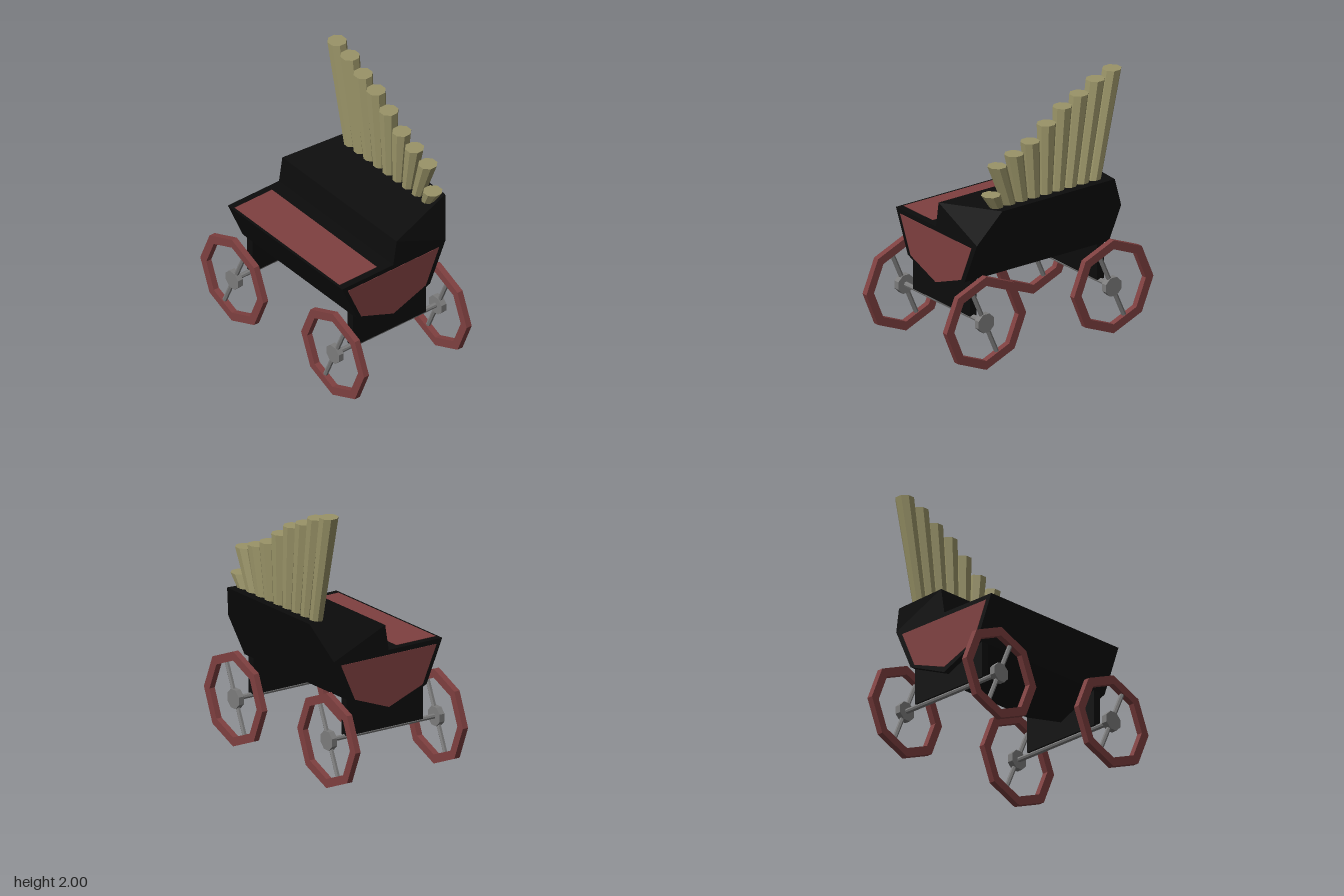
import * as THREE from 'three';
import { ConvexGeometry } from 'three/addons/geometries/ConvexGeometry.js';

const mat = (color) => new THREE.MeshStandardMaterial({ color, flatShading: true });

export function createModel() {
  const model = new THREE.Group();
  const black = mat(0x0c0c0c), red = mat(0x7f4040), brass = mat(0x9a9468), iron = mat(0x7c7c7c);

  const add = (parent, name, geometry, material, x = 0, y = 0, z = 0) => {
    const mesh = new THREE.Mesh(geometry, material);
    mesh.name = name;
    mesh.position.set(x, y, z);
    parent.add(mesh);
    return mesh;
  };
  // Convex solid from [x, y, z] points mirrored across x
  const mirroredHull = (points) => new ConvexGeometry(
    points.flatMap(([x, y, z]) => [new THREE.Vector3(x, y, z), new THREE.Vector3(-x, y, z)]));

  // Lower tub with a V-shaped keel
  const W = 0.635;
  add(model, 'tub', mirroredHull([
    [W, 0.95, 0.51], [W, 0.635, 0.375], [W, 0.49, 0.05], [W, 0.635, -0.28], [W, 0.95, -0.42],
  ]), black);

  // Raised rear hood with clipped back corners
  add(model, 'hood', mirroredHull([
    [W, 0.95, 0.05], [W, 1.14, 0.02], [0.495, 1.215, -0.53], [W, 0.95, -0.42],
  ]), black);

  // Red inlay on the deck and on both ends
  add(model, 'deckPanel', new THREE.BoxGeometry(1.165, 0.006, 0.335), red, 0, 0.95, 0.323);
  const endShape = new THREE.Shape([
    [0.46, 0.915], [0.34, 0.64], [0.05, 0.53], [-0.24, 0.64], [-0.36, 0.915],
  ].map(([z, y]) => new THREE.Vector2(-z, y)));
  const endGeo = new THREE.ExtrudeGeometry(endShape, { depth: 0.006, bevelEnabled: false });
  endGeo.rotateY(Math.PI / 2); // shape x becomes -z, depth becomes x
  for (const x of [W - 0.003, -W - 0.003]) add(model, 'endPanel', endGeo, red, x);

  // Octagonal wheel with one crossbar
  const octagon = (r) => Array.from({ length: 8 }, (_, i) =>
    new THREE.Vector2(r * Math.cos(i * Math.PI / 4), r * Math.sin(i * Math.PI / 4)));
  const rimShape = new THREE.Shape(octagon(0.35));
  rimShape.holes.push(new THREE.Path(octagon(0.283).reverse()));
  const rimGeo = new THREE.ExtrudeGeometry(rimShape, { depth: 0.045, bevelEnabled: false });
  rimGeo.translate(0, 0, -0.0225);
  const hubGeo = new THREE.CylinderGeometry(0.074, 0.074, 0.044, 8);
  hubGeo.rotateY(Math.PI / 8).rotateX(Math.PI / 2);
  const spokeGeo = new THREE.CylinderGeometry(0.017, 0.017, 0.57, 6);
  spokeGeo.rotateZ(-0.414);
  const axleGeo = new THREE.CylinderGeometry(0.019, 0.019, 0.92, 8);
  axleGeo.rotateX(Math.PI / 2);

  // Each axle hangs from a thin bracket panel and carries two wheels
  for (const x of [-0.56, 0.56]) {
    add(model, 'axleBracket', new THREE.BoxGeometry(0.06, 0.29, 0.655), black, x, 0.51, 0.0475);
    add(model, 'axle', axleGeo, iron, x, 0.355, 0.05);
    for (const z of [0.513, -0.41]) {
      const wheel = new THREE.Group();
      wheel.name = 'wheel';
      wheel.position.set(x, 0.355, z);
      add(wheel, 'rim', rimGeo, red);
      add(wheel, 'hub', hubGeo, iron);
      add(wheel, 'spoke', spokeGeo, iron);
      model.add(wheel);
    }
  }

  // Fan of flared pipes: sheared cones with level ends, [top x, top y]
  const pipes = [
    [-0.56, 2.0], [-0.415, 1.955], [-0.27, 1.88], [-0.125, 1.82], [0.016, 1.725],
    [0.16, 1.625], [0.302, 1.565], [0.45, 1.51], [0.505, 1.305],
  ];
  const baseY = 1.195;
  pipes.forEach(([topX, topY], i) => {
    const baseX = -0.405 + 0.107 * i;
    const h = topY - baseY;
    const geo = new THREE.CylinderGeometry(0.07, 0.049, h, 8);
    geo.rotateY(Math.PI / 8).translate(0, h / 2, 0);
    geo.applyMatrix4(new THREE.Matrix4().set(
      1, (topX - baseX) / h, 0, 0, 0, 1, 0, 0, 0, 0, 1, 0, 0, 0, 0, 1));
    add(model, 'pipe', geo, brass, baseX, baseY, -0.41);
  });

  return model;
}
